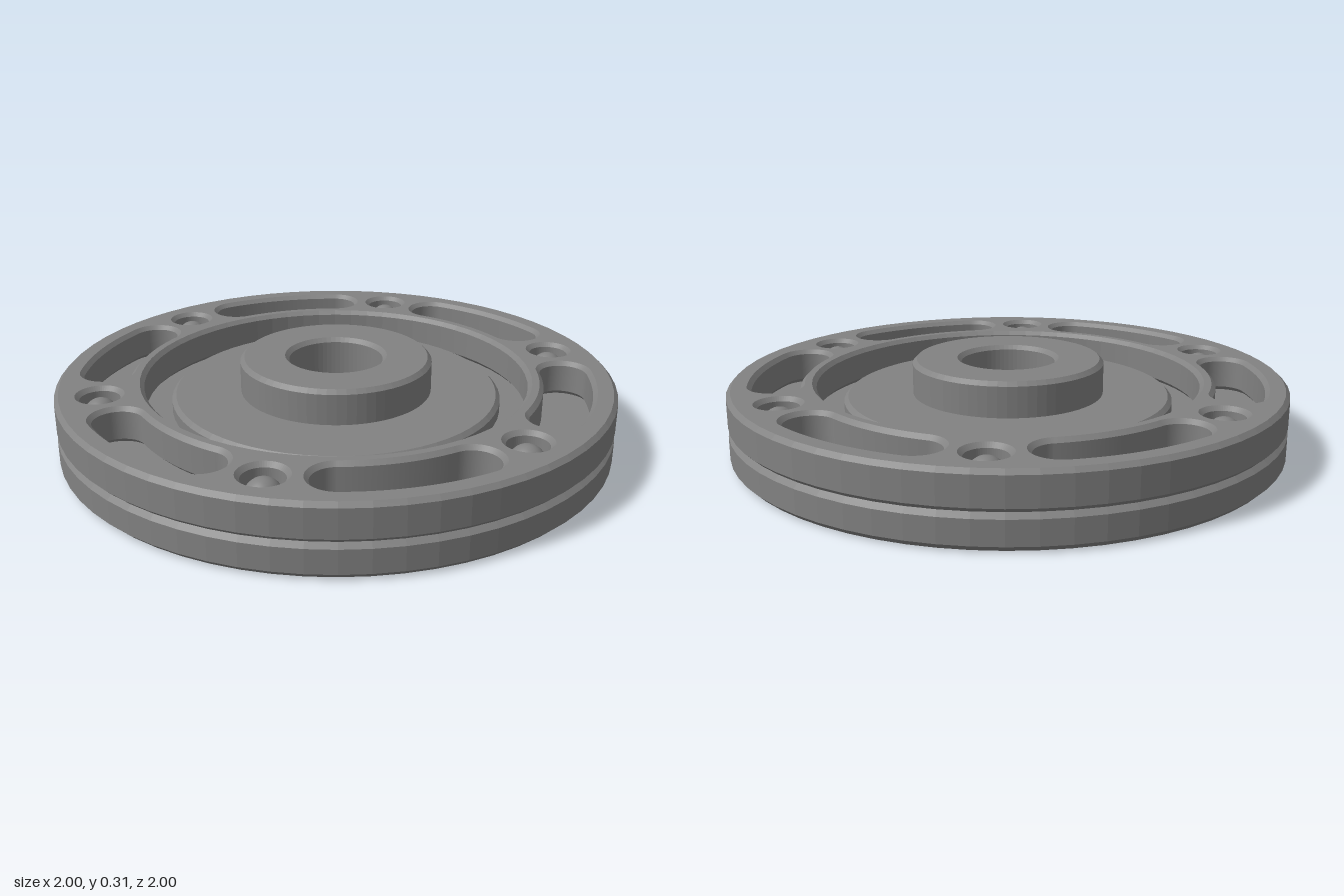
import * as THREE from 'three';

const SEGMENTS = 64;
const BEVEL = 0.015;
const TOP = 0.25;
const FLOOR = 0.12;

// Curved slot with round ends, centred on the given angle
function slotPath(angle) {
  const radius = 0.83, half = 0.085, spread = THREE.MathUtils.degToRad(15);
  const a = angle - spread, b = angle + spread;
  const path = new THREE.Path();
  path.absarc(0, 0, radius + half, a, b, false);
  path.absarc(radius * Math.cos(b), radius * Math.sin(b), half, b, b + Math.PI, false);
  path.absarc(0, 0, radius - half, b, a, true);
  path.absarc(radius * Math.cos(a), radius * Math.sin(a), half, a + Math.PI, a + 2 * Math.PI, false);
  return path;
}

function circlePath(x, y, r) {
  return new THREE.Path().absarc(x, y, r, 0, Math.PI * 2, false);
}

export function createModel() {
  const group = new THREE.Group();
  const color = 0x828282;
  const discMaterial = new THREE.MeshStandardMaterial({ color, flatShading: true });
  const screwMaterial = new THREE.MeshStandardMaterial({ color });
  const add = (name, geometry, material) => {
    const mesh = new THREE.Mesh(geometry, material);
    mesh.name = name;
    group.add(mesh);
    return mesh;
  };

  // Turned body: chamfered base disc, raised plate, hub and a bore grooved at the joint
  const profile = [
    [0.169, 0.018], [0.187, 0], [0.98, 0], [1, 0.02],
    [1, 0.103], [0.983, FLOOR], [0.58, FLOOR],
    [0.595, 0.135], [0.595, 0.175], [0.58, 0.19],
    [0.346, 0.19], [0.346, 0.3], [0.331, 0.315],
    [0.184, 0.315], [0.169, 0.3],
    [0.169, 0.135], [0.184, FLOOR], [0.169, 0.105], [0.169, 0.018],
  ].map(([r, y]) => new THREE.Vector2(r, y));
  add('body', new THREE.LatheGeometry(profile, SEGMENTS), discMaterial);

  // Top ring pierced by six slots and six screw wells
  const ring = new THREE.Shape().absarc(0, 0, 1, 0, Math.PI * 2, false);
  ring.holes.push(circlePath(0, 0, 0.69));
  const screwSpots = [];
  for (let i = 0; i < 6; i++) {
    const angle = i * Math.PI / 3;
    const x = 0.845 * Math.cos(angle + Math.PI / 6);
    const y = 0.845 * Math.sin(angle + Math.PI / 6);
    screwSpots.push([x, y]);
    ring.holes.push(slotPath(angle), circlePath(x, y, 0.07));
  }
  const ringGeometry = new THREE.ExtrudeGeometry(ring, {
    depth: TOP - FLOOR - 2 * BEVEL,
    bevelEnabled: true,
    bevelThickness: BEVEL,
    bevelSize: BEVEL,
    bevelOffset: -BEVEL,
    bevelSegments: 1,
    curveSegments: SEGMENTS / 2,
  });
  ringGeometry.rotateX(-Math.PI / 2).translate(0, FLOOR + BEVEL, 0);
  add('slottedRing', ringGeometry, discMaterial);

  // Domed screw heads seated in the wells
  const dome = new THREE.SphereGeometry(0.068, 24, 10, 0, Math.PI * 2, 0, Math.PI / 2);
  dome.scale(1, 1.2, 1);
  // Screw shanks below the domes
  const shank = new THREE.CylinderGeometry(0.068, 0.068, 0.04, 24, 1, true);
  for (const [x, z] of screwSpots) {
    add('screwHead', dome, screwMaterial).position.set(x, 0.155, z);
    add('screwShank', shank, screwMaterial).position.set(x, 0.135, z);
  }

  return group;
}
